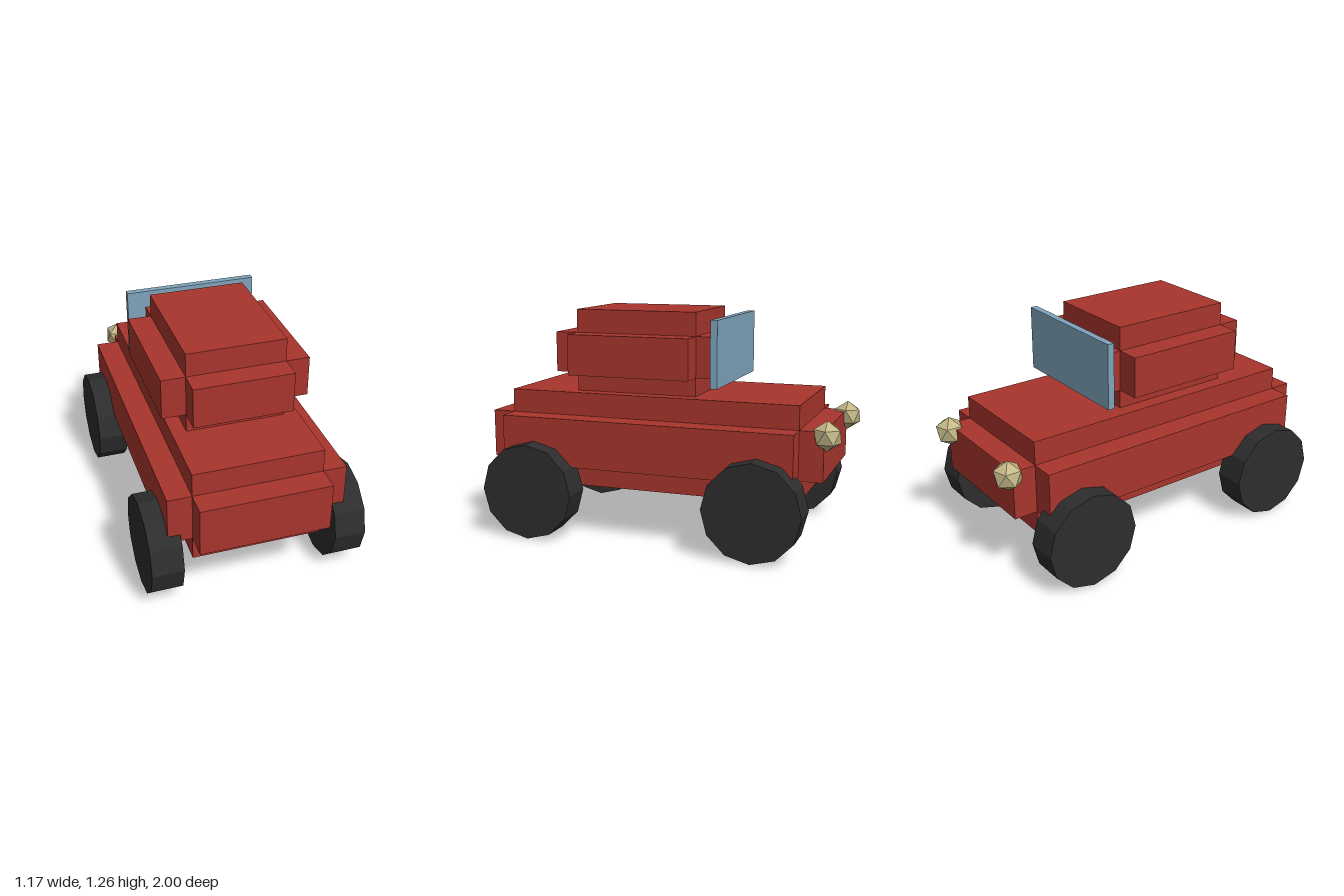
import * as THREE from 'three';
import { ConvexGeometry } from 'three/addons/geometries/ConvexGeometry.js';

const material = (name, color) => {
  const m = new THREE.MeshStandardMaterial({ color });
  m.name = name;
  return m;
};

function addMesh(parent, name, geometry, mat, x, y, z) {
  const mesh = new THREE.Mesh(geometry, mat);
  mesh.name = name;
  mesh.position.set(x, y, z);
  parent.add(mesh);
  return mesh;
}

// A block with stepped edges: a core box grown by one step along each axis in turn.
function steppedBlock(name, mat, core, step, y, z) {
  const group = new THREE.Group();
  group.name = name;
  group.position.set(0, y, z);
  ['Sides', 'TopAndBottom', 'FrontAndBack'].forEach((label, axis) => {
    const size = core.map((s, i) => (i === axis ? s + 2 * step : s));
    addMesh(group, name + label, new THREE.BoxGeometry(...size), mat, 0, 0, 0);
  });
  return group;
}

// Twenty-sided ball standing on one of its points.
function lampGeometry(r) {
  const points = [new THREE.Vector3(0, r, 0), new THREE.Vector3(0, -r, 0)];
  const h = r / Math.sqrt(5);
  for (let i = 0; i < 10; i++) {
    const a = (i * Math.PI) / 5;
    points.push(new THREE.Vector3(2 * h * Math.cos(a), i % 2 ? -h : h, 2 * h * Math.sin(a)));
  }
  return new ConvexGeometry(points);
}

// Twelve-sided wheel with faceted tread, axle along x.
function wheelGeometry(r, width) {
  const g = new THREE.CylinderGeometry(r, r, width, 12).rotateZ(Math.PI / 2).toNonIndexed();
  g.computeVertexNormals();
  return g;
}

export function createModel() {
  const model = new THREE.Group();
  model.name = 'car';

  const red = material('red paint', 0xa8352d);
  const rubber = material('black rubber', 0x2d2d2d);
  const glass = material('blue glass', 0x7fa4bc);
  const lamp = material('pale yellow lamp', 0xc4b888);

  // Body and cabin
  model.add(steppedBlock('body', red, [0.7, 0.27, 1.66], 0.13, 0.535, 0.04));
  model.add(steppedBlock('cabin', red, [0.54, 0.225, 0.7], 0.13, 1.015, 0.15));

  // Upright glass pane
  addMesh(model, 'windshield', new THREE.BoxGeometry(0.745, 0.362, 0.038), glass, 0, 1.045, -0.332);

  // Wheels and lamps, mirrored left and right
  const wheel = wheelGeometry(0.267, 0.171);
  const ball = lampGeometry(0.082);
  for (const [side, s] of [['left', 1], ['right', -1]]) {
    addMesh(model, side + 'FrontWheel', wheel, rubber, s * 0.5, 0.267, 0.68);
    addMesh(model, side + 'BackWheel', wheel, rubber, s * 0.5, 0.267, -0.597);
    addMesh(model, side + 'Lamp', ball, lamp, s * 0.317, 0.643, -0.93);
  }
  return model;
}
